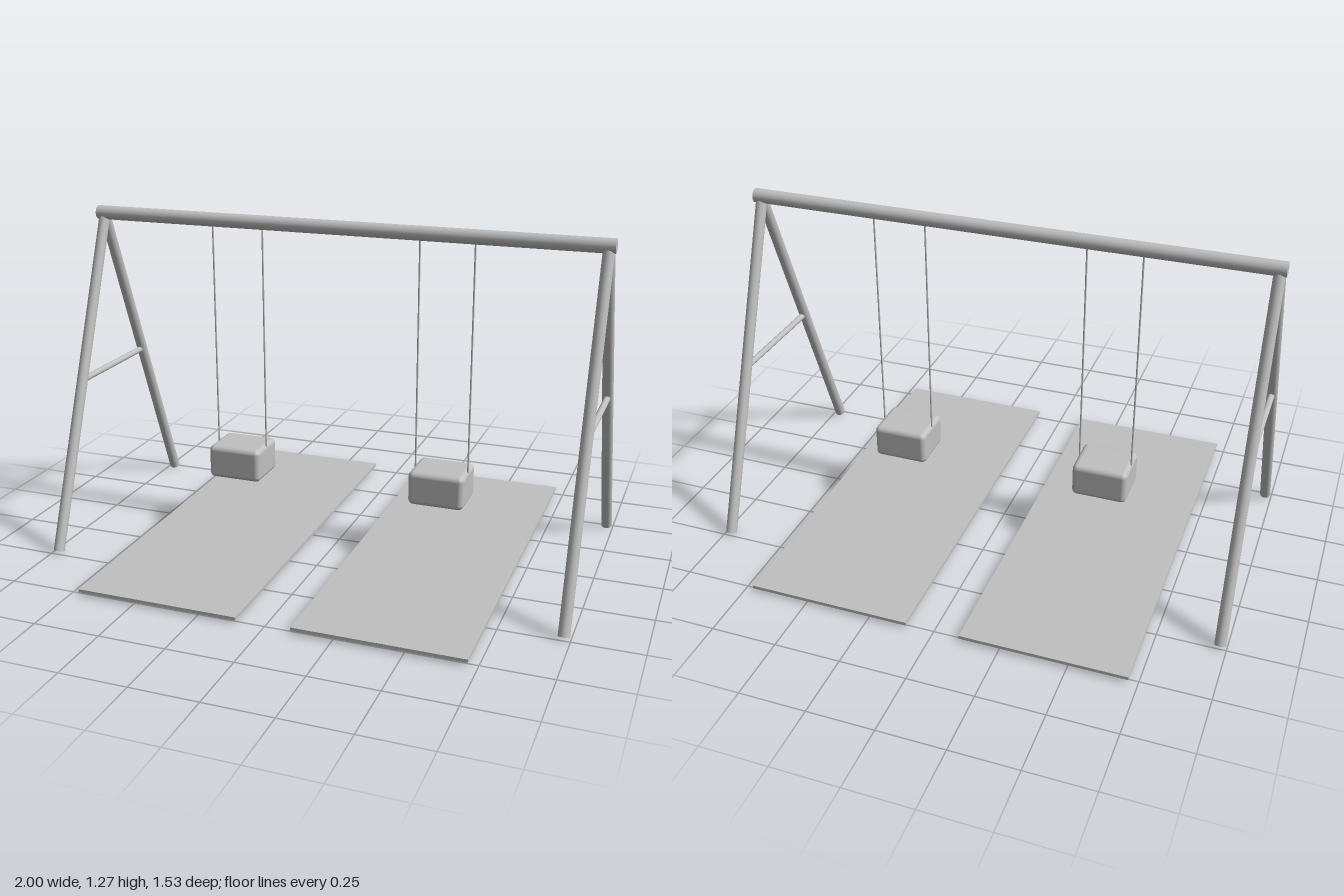
import * as THREE from 'three';
import { RoundedBoxGeometry } from 'three/addons/geometries/RoundedBoxGeometry.js';

export function createModel() {
  const grey = new THREE.MeshStandardMaterial({ color: 0xc0c0c0 });
  grey.name = 'grey';
  const model = new THREE.Group();
  model.name = 'swingSet';

  const add = (name, geometry, x = 0, y = 0, z = 0) => {
    const mesh = new THREE.Mesh(geometry, grey);
    mesh.name = name;
    mesh.position.set(x, y, z);
    model.add(mesh);
    return mesh;
  };

  // Round bar running between two points
  const bar = (name, from, to, radius, sides = 16) => {
    const a = new THREE.Vector3(...from);
    const b = new THREE.Vector3(...to);
    const mesh = add(name, new THREE.CylinderGeometry(radius, radius, a.distanceTo(b), sides));
    mesh.position.copy(a).add(b).multiplyScalar(0.5);
    mesh.quaternion.setFromUnitVectors(new THREE.Vector3(0, 1, 0), b.sub(a).normalize());
  };

  bar('topBeam', [-1, 1.243, 0], [1, 1.243, 0], 0.027, 20);

  for (const side of [1, -1]) {
    const label = side > 0 ? 'left' : 'right';

    // A-frame end
    const legX = side * 0.975;
    bar(label + 'FrontLeg', [legX, 1.235, 0], [legX, 0.008, 0.485], 0.021);
    bar(label + 'BackLeg', [legX, 1.235, 0], [legX, 0.008, -0.485], 0.021);
    bar(label + 'CrossBar', [legX, 0.627, -0.238], [legX, 0.627, 0.238], 0.012);

    // Swing: seat block on two ropes
    const swingX = side * 0.409;
    add(label + 'Seat', new RoundedBoxGeometry(0.213, 0.131, 0.184, 3, 0.02), swingX, 0.295, 0);
    for (const end of [-1, 1]) {
      const ropeX = swingX + end * 0.102;
      bar(label + 'Rope', [ropeX, 0.33, 0], [ropeX, 1.23, 0], 0.0035, 8);
    }

    // Ground mat
    add(label + 'Mat', new THREE.BoxGeometry(0.615, 0.012, 1.535), side * 0.409, 0.019, 0);
  }
  return model;
}
